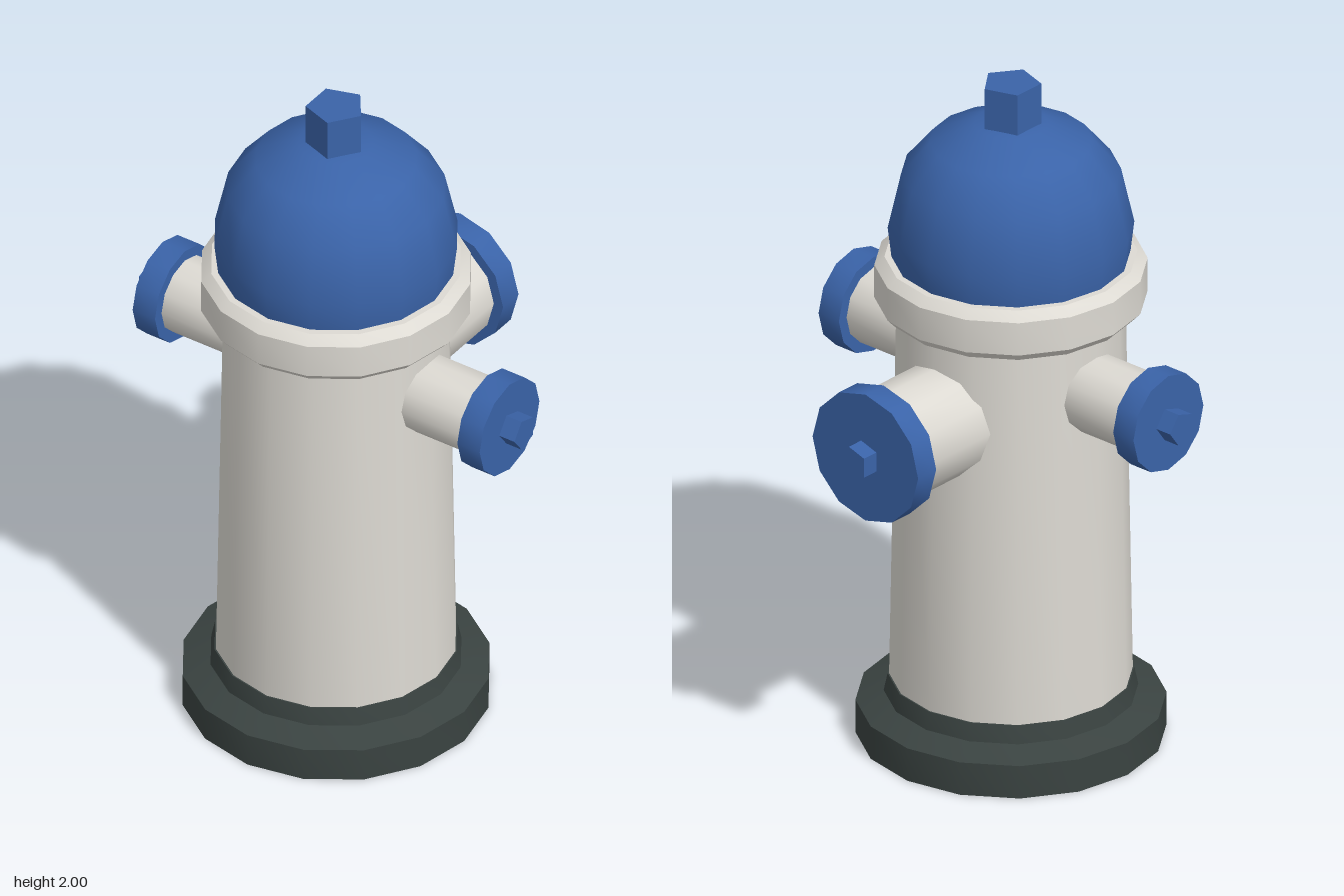
import * as THREE from 'three';
import { toCreasedNormals } from 'three/addons/utils/BufferGeometryUtils.js';

const mat = (name, color) => {
  const m = new THREE.MeshStandardMaterial({ color });
  m.name = name;
  return m;
};

export function createModel() {
  const blue = mat('blue paint', 0x3a63a8);
  const cream = mat('cream paint', 0xdddad3);
  const dark = mat('dark iron', 0x3a4341);

  const part = (name, geometry, material) => {
    const mesh = new THREE.Mesh(toCreasedNormals(geometry, 0.66), material);
    mesh.name = name;
    return mesh;
  };
  // 16-sided turned part from [radius, height] pairs
  const turned = (name, profile, material) => part(name,
    new THREE.LatheGeometry(profile.map(([r, y]) => new THREE.Vector2(r, y)), 16), material);
  // cylinder lying along +x from x0 to x1
  const rod = (name, r, x0, x1, sides, material) => part(name,
    new THREE.CylinderGeometry(r, r, x1 - x0, sides).rotateZ(-Math.PI / 2).translate((x0 + x1) / 2, 0, 0), material);

  const hydrant = new THREE.Group();
  hydrant.name = 'hydrant';
  hydrant.position.z = 0.11;

  // Stepped foot, tapered barrel, chamfered collar and dome
  hydrant.add(
    turned('base', [[0, 0], [0.43, 0], [0.43, 0.1], [0.352, 0.128], [0.341, 0.18], [0, 0.18]], dark),
    turned('barrel', [[0.337, 0.175], [0.317, 1.33]], cream),
    turned('collar', [[0.3, 1.32], [0.355, 1.32], [0.378, 1.345], [0.378, 1.445], [0.35, 1.47], [0, 1.47]], cream),
    turned('dome', [[0.33, 1.465], [0.341, 1.56], [0.304, 1.725], [0.225, 1.82], [0.103, 1.875], [0, 1.88]], blue),
  );

  // Five-sided nut on top
  hydrant.add(part('topNut',
    new THREE.CylinderGeometry(0.084, 0.084, 0.14, 5).rotateY(Math.PI / 2).translate(0, 1.93, 0), blue));

  // Outlets: pipe, cap and five-sided nut
  const addOutlet = (name, angle, y, pipeR, capR, capStart) => {
    const outlet = new THREE.Group();
    outlet.name = name;
    outlet.position.y = y;
    outlet.rotation.y = angle;
    outlet.add(
      rod('outletPipe', pipeR, 0.2, capStart + 0.01, 12, cream),
      rod('outletCap', capR, capStart, capStart + 0.075, 12, blue),
      rod('outletNut', 0.05, capStart + 0.07, capStart + 0.126, 5, blue),
    );
    hydrant.add(outlet);
  };
  addOutlet('leftOutlet', 0, 1.142, 0.113, 0.145, 0.507);
  addOutlet('rightOutlet', Math.PI, 1.142, 0.113, 0.145, 0.507);
  addOutlet('backOutlet', Math.PI / 2, 1.067, 0.164, 0.195, 0.529);

  const model = new THREE.Group();
  model.add(hydrant);
  return model;
}
